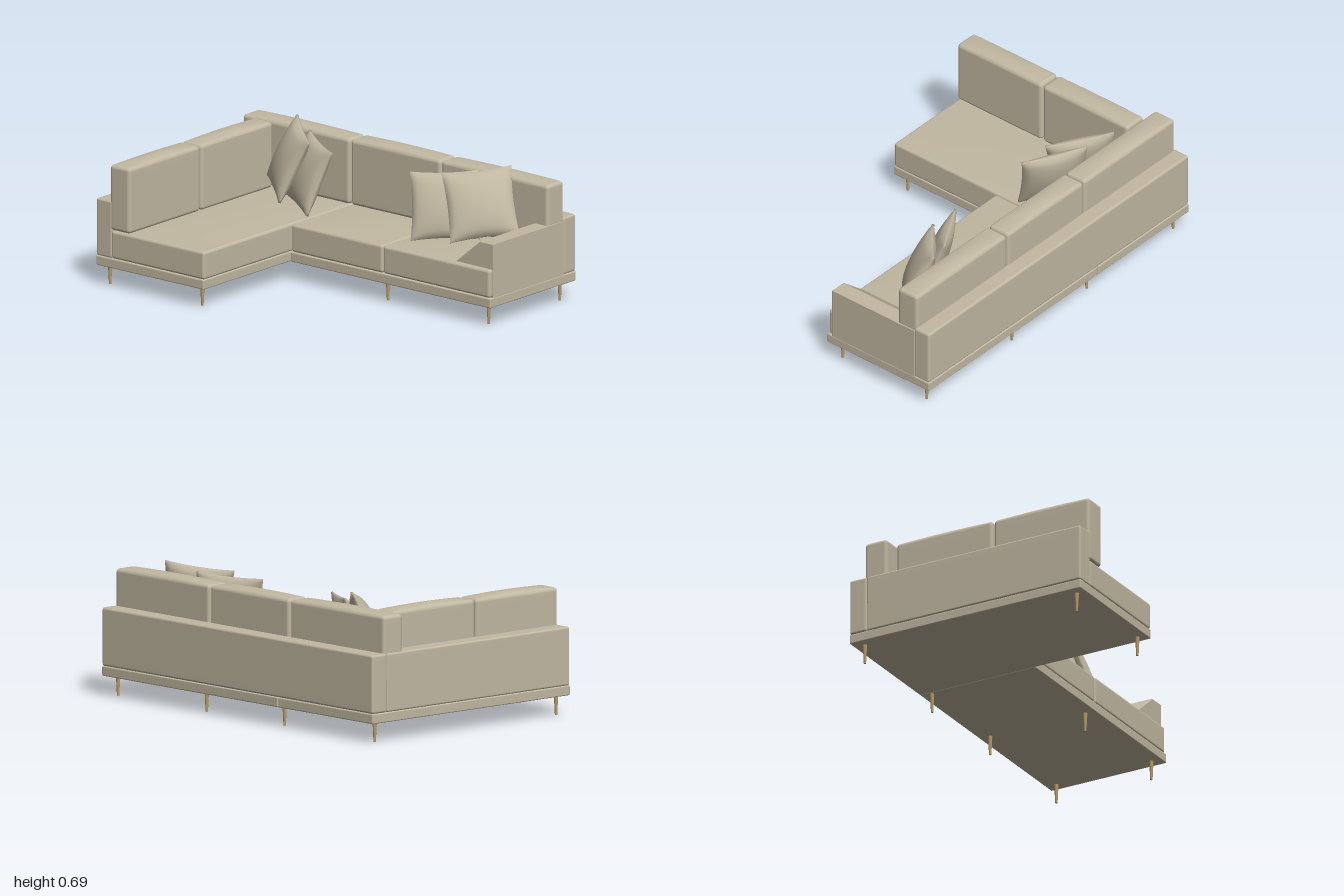
import * as THREE from 'three';
import { mergeVertices } from 'three/addons/utils/BufferGeometryUtils.js';

const fabric = new THREE.MeshStandardMaterial({ color: 0xc2b8a2 });
fabric.name = 'beige fabric';
const brass = new THREE.MeshStandardMaterial({ color: 0xb89c68 });
brass.name = 'brass';

// Smooth normals across shared vertices
function smooth(geometry) {
  geometry.deleteAttribute('uv');
  geometry.deleteAttribute('normal');
  const merged = mergeVertices(geometry, 1e-5);
  merged.computeVertexNormals();
  return merged;
}

// Rounded box given by its limits, with an optional swell of the top face
function softBox(name, [x0, x1], [y0, y1], [z0, z1], r, swell = 0) {
  const half = [(x1 - x0) / 2, (y1 - y0) / 2, (z1 - z0) / 2];
  const g = new THREE.BoxGeometry(2, 2, 2, 16, 16, 16);
  const pos = g.attributes.position;
  const offset = new THREE.Vector3();
  for (let i = 0; i < pos.count; i++) {
    const t = [pos.getX(i), pos.getY(i), pos.getZ(i)];
    const inner = t.map((v, k) => (half[k] - r) * THREE.MathUtils.clamp(v * 2, -1, 1));
    // The outer half of the grid on each axis wraps round the edge
    const bend = t.map((v) => Math.sign(v) * Math.tan(Math.max(0, Math.abs(v) - 0.5) * Math.PI / 2));
    offset.set(...bend).normalize().multiplyScalar(r);
    const p = [inner[0] + offset.x, inner[1] + offset.y, inner[2] + offset.z];
    const rise = (1 - (p[0] / half[0]) ** 2) * (1 - (p[2] / half[2]) ** 2);
    if (t[1] > 0) p[1] += swell * rise * p[1] / half[1];
    pos.setXYZ(i, ...p);
  }
  const mesh = new THREE.Mesh(smooth(g), fabric);
  mesh.name = name;
  mesh.position.set((x0 + x1) / 2, (y0 + y1) / 2, (z0 + z1) / 2);
  return mesh;
}

// Square pillow with drawn-out corners and a thin rim
function pillowGeometry(size, thickness) {
  const g = new THREE.BoxGeometry(2, 2, 2, 20, 20, 2);
  const pos = g.attributes.position;
  for (let i = 0; i < pos.count; i++) {
    const u = pos.getX(i), v = pos.getY(i), w = pos.getZ(i);
    const puff = Math.pow(Math.max(0, (1 - u * u) * (1 - v * v)), 0.55);
    pos.setXYZ(i,
      u * size / 2 * (1 - 0.06 * (1 - v * v)),
      v * size / 2 * (1 - 0.06 * (1 - u * u)),
      w * (0.006 + puff * thickness / 2));
  }
  return smooth(g);
}

// Stand a pillow along two edge directions
function pillow(name, geometry, centre, along, up) {
  const x = new THREE.Vector3(...along).normalize();
  const z = x.clone().cross(new THREE.Vector3(...up)).normalize();
  const y = z.clone().cross(x);
  const mesh = new THREE.Mesh(geometry, fabric);
  mesh.name = name;
  mesh.quaternion.setFromRotationMatrix(new THREE.Matrix4().makeBasis(x, y, z));
  mesh.position.set(...centre);
  return mesh;
}

export function createModel() {
  const sofa = new THREE.Group();
  sofa.name = 'cornerSofa';

  // Plinths under the chaise and the main bench
  sofa.add(
    softBox('chaiseBase', [-1, -0.302], [0.1, 0.15], [-0.665, 0.66], 0.006),
    softBox('benchBase', [-0.298, 1], [0.1, 0.15], [-0.665, -0.005], 0.006));

  // Low outer frame
  sofa.add(
    softBox('backFrame', [-1, 1], [0.15, 0.445], [-0.665, -0.568], 0.012),
    softBox('sideFrame', [-1, -0.9], [0.15, 0.445], [-0.566, 0.658], 0.01));

  // Seat cushions
  sofa.add(
    softBox('chaiseSeat', [-0.905, -0.3], [0.15, 0.293], [-0.57, 0.658], 0.014, 0.008),
    softBox('middleSeat', [-0.295, 0.295], [0.15, 0.293], [-0.57, -0.008], 0.014, 0.01),
    softBox('endSeat', [0.3, 0.992], [0.15, 0.293], [-0.57, -0.008], 0.014, 0.01));

  // Back cushions
  for (const [x0, x1] of [[-0.993, -0.298], [-0.29, 0.292], [0.3, 0.992]]) {
    sofa.add(softBox('backCushion', [x0, x1], [0.295, 0.632], [-0.582, -0.456], 0.018, 0.012));
  }
  for (const [z0, z1] of [[-0.447, 0.103], [0.112, 0.658]]) {
    sofa.add(softBox('sideCushion', [-0.913, -0.785], [0.295, 0.632], [z0, z1], 0.018, 0.012));
  }

  // Armrest with a sloping inner face
  const profile = new THREE.Shape([[0.75, 0.287], [0.912, 0.421], [0.995, 0.421], [0.995, 0.152], [0.9, 0.152]]
    .map(([x, y]) => new THREE.Vector2(x, y)));
  const arm = new THREE.Mesh(new THREE.ExtrudeGeometry(profile, {
    depth: 0.53, bevelEnabled: true, bevelThickness: 0.004, bevelSize: 0.004, bevelSegments: 2,
  }), fabric);
  arm.name = 'armrest';
  arm.position.z = -0.568;
  sofa.add(arm);

  // Two leaning pillows on each side
  const large = pillowGeometry(0.35, 0.1);
  const small = pillowGeometry(0.345, 0.09);
  for (const [side, s, shiftLarge, shiftSmall] of [['right', 1, 0, 0], ['left', -1, 0.09, 0.06]]) {
    sofa.add(
      pillow(side + 'LargePillow', large, [s * -0.58 + shiftLarge, 0.508, -0.322],
        [s * 0.26, -0.045, 0.22], [s * 0.12, 0.31, -0.08]),
      pillow(side + 'SmallPillow', small, [s * -0.413 + shiftSmall, 0.475, -0.278],
        [s * 0.29, -0.024, 0.175], [s * 0.08, 0.315, -0.09]));
  }

  // Tapered legs
  const legGeometry = new THREE.CylinderGeometry(0.011, 0.006, 0.102, 16);
  const legSpots = [[-0.95, 0.61], [-0.35, 0.61], [-0.95, -0.605], [-0.285, -0.605],
    [0.29, -0.605], [0.945, -0.605], [0.29, -0.06], [0.945, -0.06]];
  for (const [x, z] of legSpots) {
    const leg = new THREE.Mesh(legGeometry, brass);
    leg.name = 'leg';
    leg.position.set(x, 0.051, z);
    sofa.add(leg);
  }
  return sofa;
}
